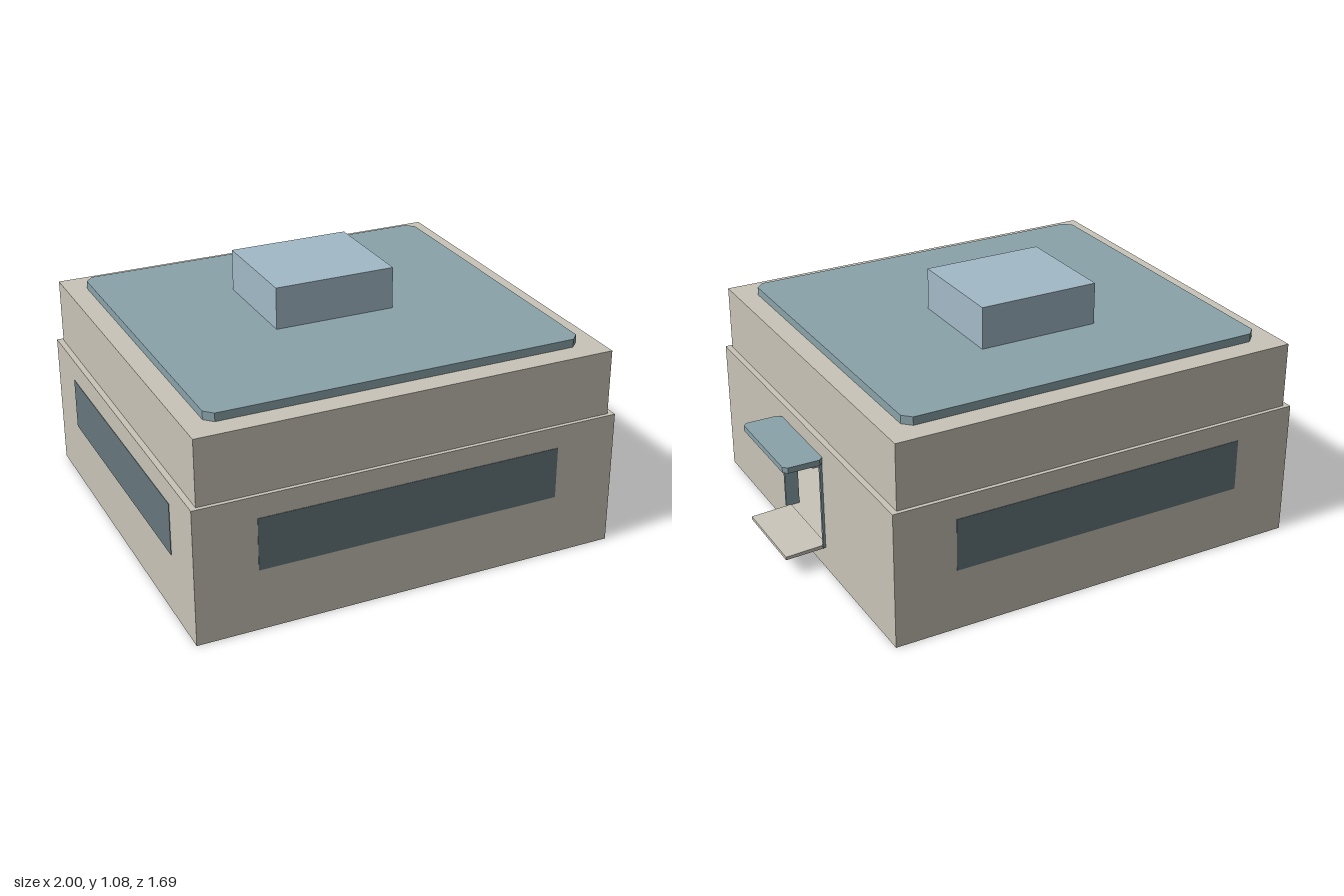
import * as THREE from 'three';

const mat = (name, color) => {
  const m = new THREE.MeshStandardMaterial({ color });
  m.name = name;
  return m;
};

export function createModel() {
  const stone = mat('stone', 0xc9c4b8);
  const roofBlue = mat('roof blue', 0x8aa3aa);
  const paleBlue = mat('pale blue', 0xa3bac8);
  const glass = mat('dark glass', 0x66777d);

  const model = new THREE.Group();
  model.name = 'building';

  const add = (name, geometry, material) => {
    const mesh = new THREE.Mesh(geometry, material);
    mesh.name = name;
    model.add(mesh);
    return mesh;
  };

  // Box given by its extents on each axis
  const box = (name, material, [x0, x1], [y0, y1], [z0, z1]) => {
    const mesh = add(name, new THREE.BoxGeometry(x1 - x0, y1 - y0, z1 - z0), material);
    mesh.position.set((x0 + x1) / 2, (y0 + y1) / 2, (z0 + z1) / 2);
    return mesh;
  };

  // Flat slab with its four corners cut off
  const chamferedSlab = (name, material, [x0, x1], [y0, y1], halfZ, c) => {
    const shape = new THREE.Shape([
      [x0 + c, -halfZ], [x1 - c, -halfZ], [x1, -halfZ + c], [x1, halfZ - c],
      [x1 - c, halfZ], [x0 + c, halfZ], [x0, halfZ - c], [x0, -halfZ + c],
    ].map(([x, y]) => new THREE.Vector2(x, y)));
    const geometry = new THREE.ExtrudeGeometry(shape, { depth: y1 - y0, bevelEnabled: false });
    geometry.rotateX(-Math.PI / 2).translate(0, y0, 0);
    return add(name, geometry, material);
  };

  const X0 = -1, X1 = 0.83, Z = 0.843, H = 0.585, T = 0.05;
  const inX = [X0 + T, X1 - T], inZ = [-Z + T, Z - T];

  // Hollow lower storey
  box('frontWall', stone, [X0, X1], [0, H], [Z - T, Z]);
  box('backWall', stone, [X0, X1], [0, H], [-Z, -Z + T]);
  box('rightWall', stone, [X0, X0 + T], [0, H], inZ);
  box('floor', stone, inX, [0, 0.1], inZ);
  box('ceiling', stone, inX, [0.53, H], inZ);

  // Entrance wall with its doorway
  const rect = (P, a, b, c, d) => {
    const p = new P();
    p.moveTo(a, c);
    p.lineTo(b, c);
    p.lineTo(b, d);
    p.lineTo(a, d);
    p.closePath();
    return p;
  };
  const wallShape = rect(THREE.Shape, inZ[0], inZ[1], 0, H);
  wallShape.holes.push(rect(THREE.Path, -0.198, 0.198, 0.1, 0.495));
  const wall = new THREE.ExtrudeGeometry(wallShape, { depth: T, bevelEnabled: false });
  wall.rotateY(Math.PI / 2).translate(X1 - T, 0, 0);
  add('entranceWall', wall, stone);

  // Upper storey, roof and rooftop block
  box('upperStorey', stone, [-0.975, 0.805], [H, 0.865], [-0.826, 0.826]);
  chamferedSlab('roofSlab', roofBlue, [-0.887, 0.717], [0.865, 0.9], 0.73, 0.035);
  box('rooftopBlock', paleBlue, [-0.35, 0.175], [0.9, 1.08], [-0.336, 0.134]);

  // Window bands on the three walls without a door
  const sill = [0.265, 0.49];
  for (const s of [1, -1]) {
    const inner = s * (Z - 0.001), outer = s * (Z + 0.002);
    box(s > 0 ? 'frontWindow' : 'backWindow', glass, [-0.74, 0.565], sill,
      [Math.min(inner, outer), Math.max(inner, outer)]);
  }
  box('rightWindow', glass, [X0 - 0.002, X0 + 0.001], sill, [-0.6, 0.6]);

  // Door frame, lintel and canopy
  for (const s of [1, -1]) {
    const jamb = box(s > 0 ? 'frontJamb' : 'backJamb', roofBlue, [0.78, 0.84], [0.1, 0.495], [-0.006, 0.006]);
    jamb.position.z = s * 0.194;
  }
  box('doorLintel', stone, [0.78, 0.87], [0.475, 0.496], [-0.196, 0.196]);
  chamferedSlab('canopy', roofBlue, [0.83, 1], [0.495, 0.52], 0.22, 0.017);

  // Doorstep, sloping gently outward
  const step = new THREE.Shape([
    [0.82, 0.088], [1, 0.081], [1, 0.095], [0.82, 0.104],
  ].map(([x, y]) => new THREE.Vector2(x, y)));
  const stepGeometry = new THREE.ExtrudeGeometry(step, { depth: 0.37, bevelEnabled: false });
  stepGeometry.translate(0, 0, -0.185);
  add('doorstep', stepGeometry, stone);

  return model;
}
